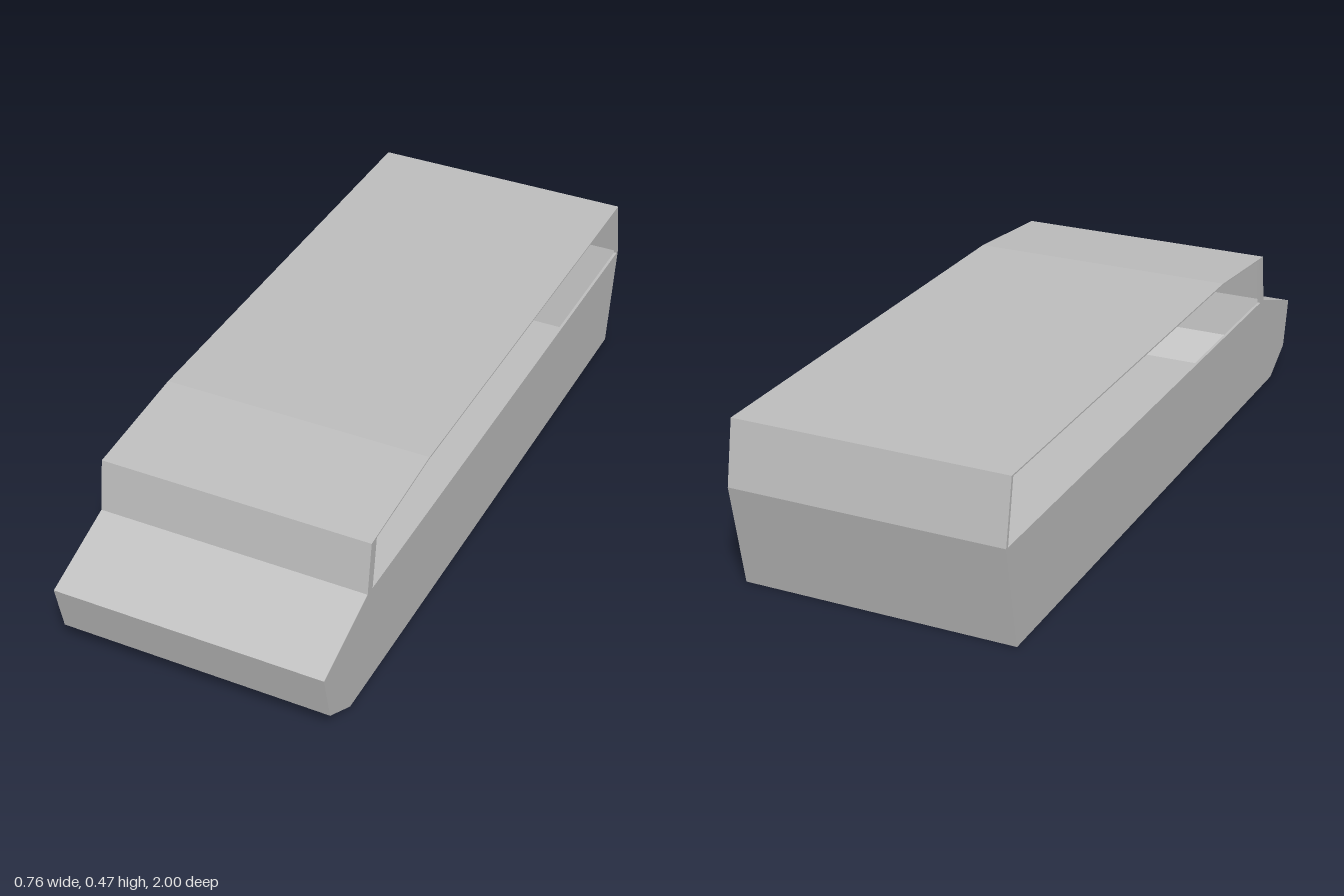
import * as THREE from 'three';

const HALF_WIDTH = 0.38;
const WALL = 0.008;

// Side silhouette as [z, y], running from the floor up the nose and back over the roof
const PROFILE = [
  [0.86, 0], [0.97, 0.065], [1, 0.204], [0.76, 0.29], [0.738, 0.435],
  [0.4, 0.465], [-0.968, 0.465], [-1, 0.29], [-0.945, 0],
];
// One panel name per edge of the silhouette
const PANELS = [
  'lowerNose', 'frontFascia', 'hood', 'windshieldPanel', 'frontRoof',
  'mainRoof', 'upperRear', 'lowerRear', 'floor',
];
// Open window along each side
const WINDOW = [
  [0.732, 0.29], [0.709, 0.4335], [0.4, 0.461], [-0.96, 0.461], [-0.99, 0.29],
];

const toPoints = (list) => list.map(([z, y]) => new THREE.Vector2(z, y));

// Flat sheet spanning the full width between two silhouette points
function sheet([z0, y0], [z1, y1]) {
  const w = HALF_WIDTH;
  const geometry = new THREE.BufferGeometry();
  geometry.setAttribute('position', new THREE.Float32BufferAttribute(
    [-w, y0, z0, w, y0, z0, w, y1, z1, -w, y1, z1], 3));
  geometry.setIndex([0, 1, 2, 0, 2, 3]);
  geometry.computeVertexNormals();
  return geometry;
}

export function createModel() {
  const model = new THREE.Group();
  model.name = 'vanShell';

  const grey = new THREE.MeshStandardMaterial({ color: 0xc0c0c0, side: THREE.DoubleSide });
  grey.name = 'bodyGrey';

  // Hollow skin: nose, hood, windshield, roof, rear and floor
  PANELS.forEach((name, i) => {
    const mesh = new THREE.Mesh(sheet(PROFILE[i], PROFILE[(i + 1) % PROFILE.length]), grey);
    mesh.name = name;
    model.add(mesh);
  });

  // Thin side walls with the long open window
  const shape = new THREE.Shape(toPoints(PROFILE));
  shape.holes.push(new THREE.Path(toPoints(WINDOW)));
  const side = new THREE.ExtrudeGeometry(shape, { depth: WALL, bevelEnabled: false });
  side.rotateY(-Math.PI / 2);
  for (const [name, x] of [['leftSide', HALF_WIDTH], ['rightSide', -HALF_WIDTH + WALL]]) {
    const mesh = new THREE.Mesh(side, grey);
    mesh.name = name;
    mesh.position.x = x;
    model.add(mesh);
  }

  return model;
}
